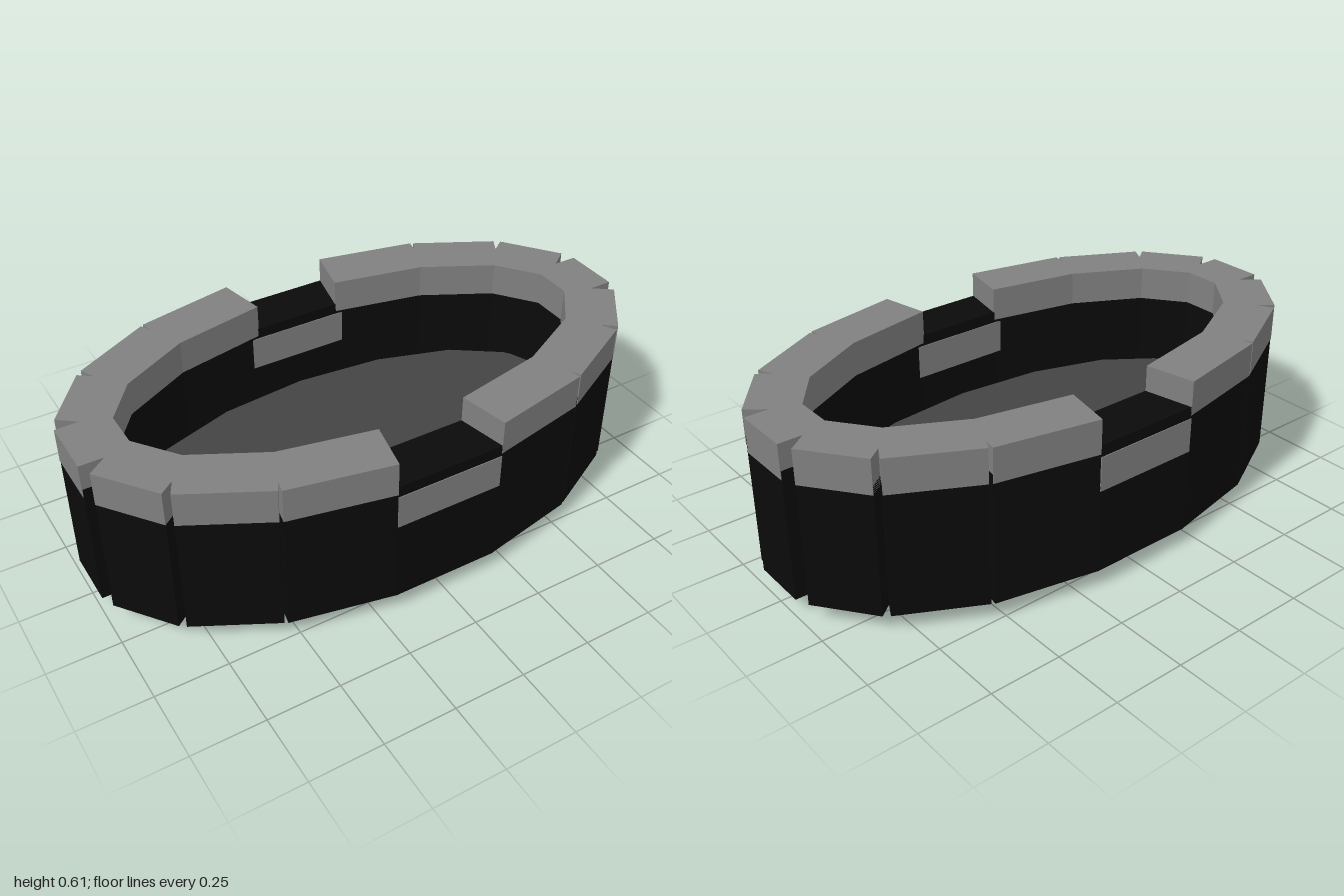
import * as THREE from 'three';

const mat = (color) => new THREE.MeshStandardMaterial({ color, flatShading: true });

export function createModel() {
  const group = new THREE.Group();
  group.name = 'ovalCounter';
  const black = mat(0x0a0a0a);
  const grey = mat(0x808080);
  const depth = 0.172;

  // Box whose outer face runs along the plan edge a -> b, reaching inwards
  function edgeBox(name, a, b, y0, y1, proud, material) {
    const dx = b[0] - a[0], dz = b[1] - a[1];
    const len = Math.hypot(dx, dz);
    const mx = (a[0] + b[0]) / 2, mz = (a[1] + b[1]) / 2;
    let nx = -dz / len, nz = dx / len;
    if (nx * mx + nz * mz > 0) { nx = -nx; nz = -nz; }
    const mesh = new THREE.Mesh(
      new THREE.BoxGeometry(len, y1 - y0, depth + 2 * proud), material);
    mesh.position.set(mx + nx * depth / 2, (y0 + y1) / 2, mz + nz * depth / 2);
    mesh.rotation.y = Math.atan2(-dz, dx);
    mesh.name = name;
    group.add(mesh);
  }

  // Wall section with its countertop slab
  function section(a, b) {
    edgeBox('wallSection', a, b, 0.063, 0.52, 0, black);
    edgeBox('countertop', a, b, 0.49, 0.61, 0.002, grey);
  }

  // Outer edges of one quadrant, mirrored to all four
  const quadrant = [
    [[0.19, 0.57], [0.54, 0.498]],
    [[0.55, 0.492], [0.818, 0.35]],
    [[0.838, 0.335], [0.98, 0.147]],
  ];
  for (const sx of [1, -1]) {
    for (const sz of [1, -1]) {
      for (const [a, b] of quadrant) {
        section([a[0] * sx, a[1] * sz], [b[0] * sx, b[1] * sz]);
      }
    }
  }

  // End sections
  for (const s of [1, -1]) section([s * 0.998, -0.1], [s * 0.998, 0.1]);

  // Openings at front and back: low wall with a panel on both faces
  for (const s of [1, -1]) {
    const a = [-0.19, s * 0.571], b = [0.19, s * 0.571];
    edgeBox('gapWall', a, b, 0.063, 0.52, 0, black);
    edgeBox('gapPanel', a, b, 0.36, 0.48, 0.003, grey);
  }

  // Oval plinth that forms the raised inner floor
  const plinth = new THREE.Mesh(
    new THREE.CylinderGeometry(1, 1, 0.24, 16),
    new THREE.MeshStandardMaterial({ color: 0x444444 }));
  plinth.scale.set(0.83, 1, 0.393);
  plinth.position.y = 0.12;
  plinth.name = 'plinth';
  group.add(plinth);

  return group;
}
